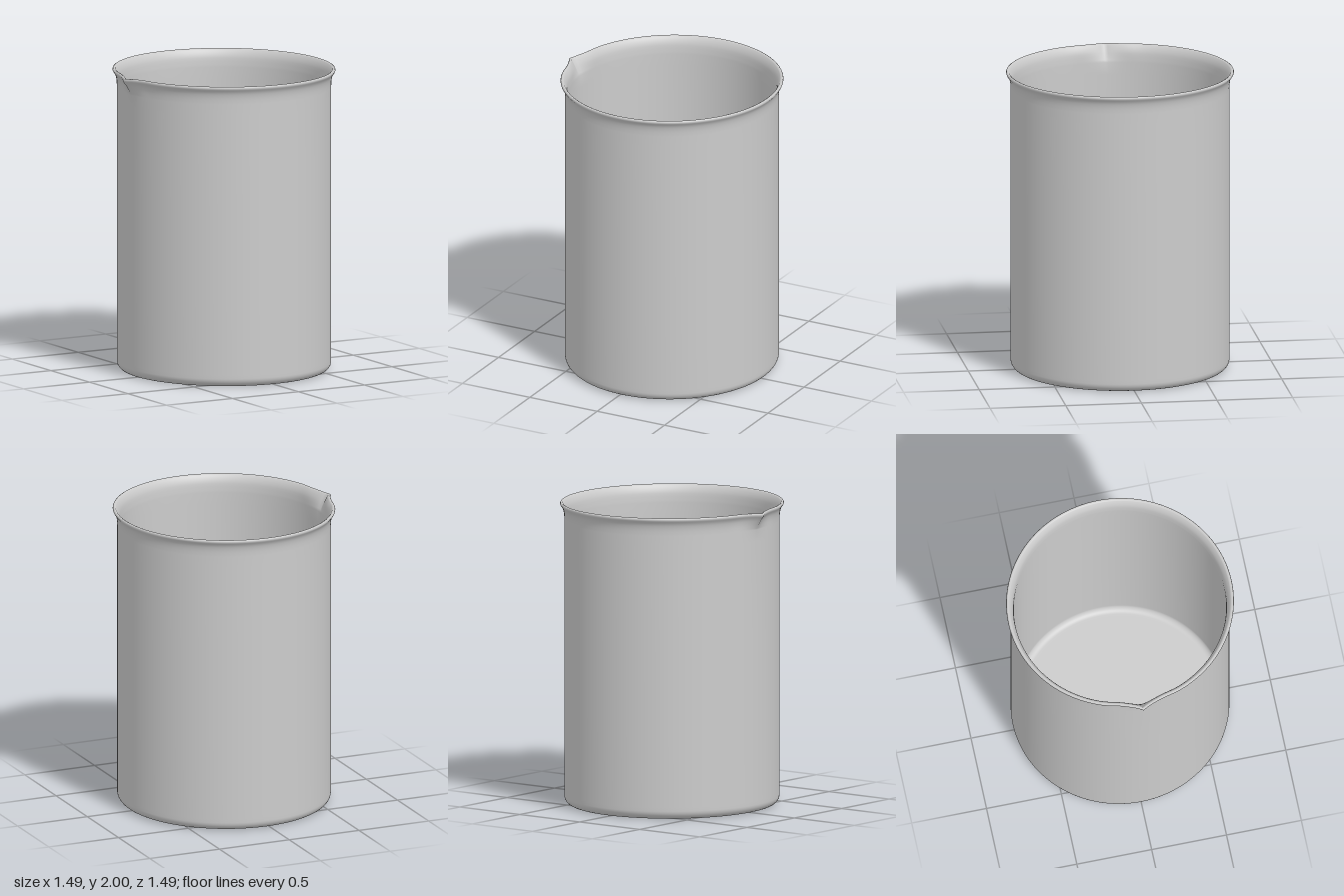
import * as THREE from 'three';
import { mergeVertices } from 'three/addons/utils/BufferGeometryUtils.js';

const V = (x, y) => new THREE.Vector2(x, y);

// Points along a circular arc in the profile plane
function arc(cx, cy, r, from, to, steps) {
  return Array.from({ length: steps + 1 }, (_, i) => {
    const a = from + (to - from) * i / steps;
    return V(cx + r * Math.cos(a), cy + r * Math.sin(a));
  });
}

export function createModel() {
  const group = new THREE.Group();
  group.name = 'beaker';
  const H = Math.PI / 2;

  // Closed wall profile: under the base, up the outside, over the lip, down the inside
  const outerFlare = new THREE.SplineCurve([
    V(0.717, 1.88), V(0.719, 1.92), V(0.727, 1.955), V(0.743, 1.98),
  ]).getPoints(9);
  const innerFlare = new THREE.SplineCurve([
    V(0.727, 1.996), V(0.713, 1.975), V(0.701, 1.94), V(0.696, 1.88),
  ]).getPoints(9);
  const profile = [
    V(0, 0), V(0.3, 0), V(0.65, 0),
    ...arc(0.662, 0.055, 0.055, -H, 0, 8),
    V(0.717, 0.08), V(0.717, 0.6), V(0.717, 1.2), V(0.717, 1.8),
    ...outerFlare,
    V(0.746, 1.988), V(0.743, 1.996), V(0.736, 2),
    ...innerFlare,
    V(0.696, 1.8), V(0.696, 1.2), V(0.696, 0.6), V(0.696, 0.09),
    ...arc(0.651, 0.07, 0.045, 0, -H, 8),
    V(0.63, 0.025), V(0.3, 0.025), V(0, 0.025),
  ];
  let geo = new THREE.LatheGeometry(profile, 192);

  // Slightly oval plan, with a pinched pouring spout pulled out of the lip at -x
  const pos = geo.attributes.position;
  for (let i = 0; i < pos.count; i++) {
    const x = pos.getX(i), y = pos.getY(i), z = pos.getZ(i);
    let nx = 0.02 + x * 0.971;
    if (x < 0) {
      const lift = THREE.MathUtils.smoothstep(y, 1.84, 1.985);
      const pinch = Math.exp(-Math.abs(z) / 0.065);
      const hollow = Math.exp(-(((Math.abs(z) - 0.15) / 0.07) ** 2));
      nx -= lift * (0.042 * pinch - 0.006 * hollow);
      pos.setY(i, y - 0.008 * lift * pinch);
    }
    pos.setX(i, nx);
  }

  // Weld the seam so the glass shades smoothly all the way round
  geo.deleteAttribute('uv');
  geo.deleteAttribute('normal');
  geo = mergeVertices(geo, 1e-5);
  geo.computeVertexNormals();

  const mesh = new THREE.Mesh(geo, new THREE.MeshStandardMaterial({ color: 0xcccccc }));
  mesh.name = 'beakerWallWithSpout';
  group.add(mesh);
  return group;
}
